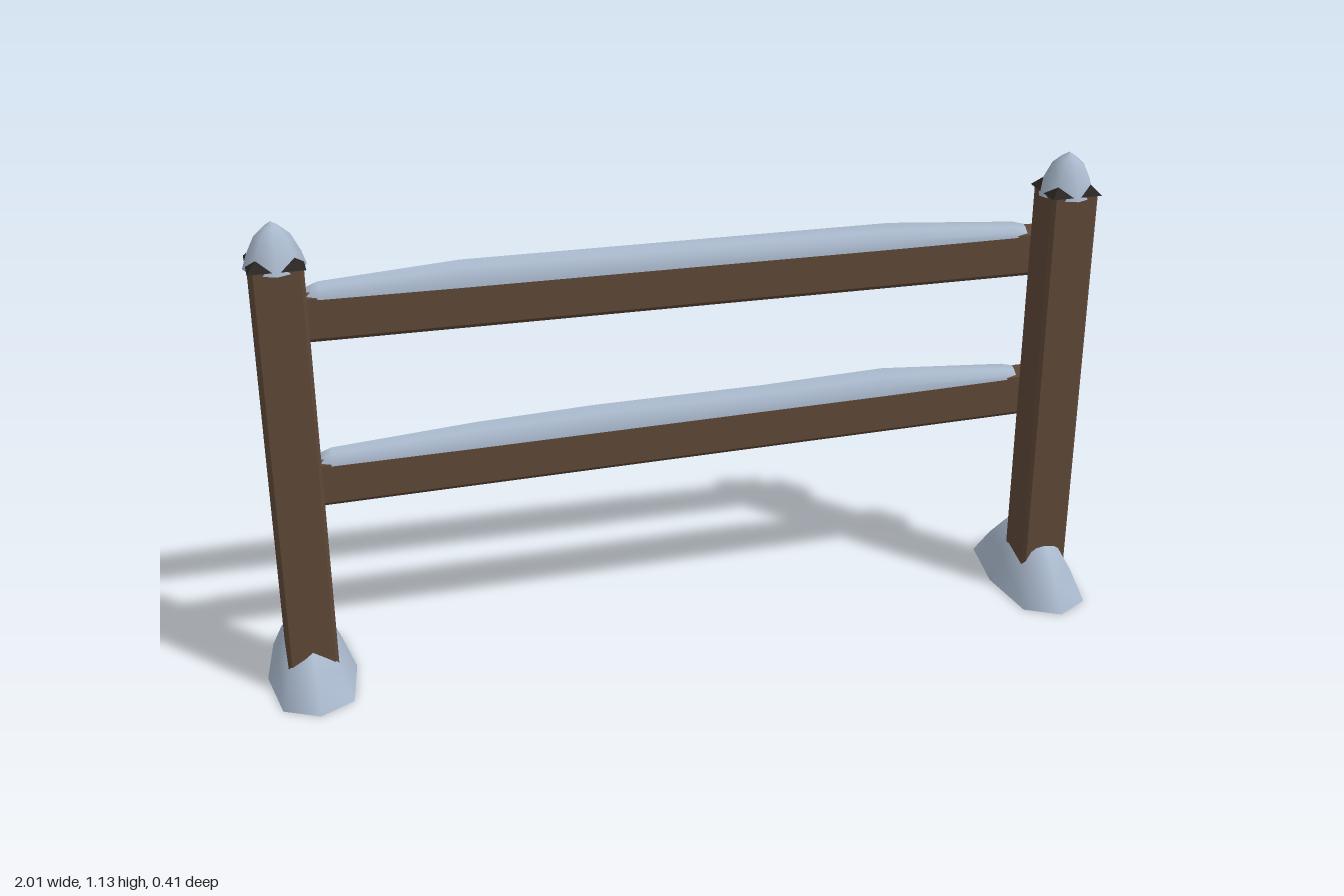
import * as THREE from 'three';

const WOOD = new THREE.MeshStandardMaterial({ color: 0x5e4737 });
const IRON = new THREE.MeshStandardMaterial({ color: 0x2a2522 });
const SNOW = new THREE.MeshStandardMaterial({ color: 0xa9b8cc, side: THREE.DoubleSide });

const POST_X = 0.9, POST_Z = 0.028, RAIL_Z = -0.057;

function add(parent, name, geometry, material, x = 0, y = 0, z = 0) {
  const mesh = new THREE.Mesh(geometry, material);
  mesh.name = name;
  mesh.position.set(x, y, z);
  parent.add(mesh);
  return mesh;
}

// Rectangle with its four corners cut off
function cutRect(w, h, c) {
  const a = w / 2, b = h / 2;
  return new THREE.Shape([
    [-a + c, -b], [a - c, -b], [a, -b + c], [a, b - c],
    [a - c, b], [-a + c, b], [-a, b - c], [-a, -b + c],
  ].map(([x, y]) => new THREE.Vector2(x, y)));
}

// Skin between cross-sections that share a point count
function loft(rings, closed) {
  const n = rings[0].length, index = [];
  for (let i = 0; i < rings.length - 1; i++) {
    for (let j = 0; j < (closed ? n : n - 1); j++) {
      const a = i * n + j, b = i * n + (j + 1) % n;
      index.push(a, b, a + n, b, b + n, a + n);
    }
  }
  const g = new THREE.BufferGeometry();
  g.setAttribute('position', new THREE.Float32BufferAttribute(rings.flat(2), 3));
  g.setIndex(index);
  g.computeVertexNormals();
  return g;
}

// Oblong open snow drift around the foot of a post
function driftGeometry(halfZ) {
  const levels = [[0, 1, 1], [0.07, 0.72, 0.74], [0.125, 0.4, 0.5], [0.147, 0.001, 0.001]];
  return loft(levels.map(([y, sx, sz]) => Array.from({ length: 8 }, (_, j) => {
    const a = -j * Math.PI / 4;
    const bulge = j % 2 ? 1.1 : 1;
    return [Math.cos(a) * 0.103 * sx * bulge, y, -Math.sin(a) * halfZ * sz * bulge];
  }).reverse()), true);
}

// Snow lying along a rail; each station is [x, crest height above rail centre, width]
function railSnowGeometry(stations) {
  const section = [[-1, 0], [-0.95, 0.4], [-0.55, 0.75], [0, 1], [0.55, 0.75], [0.95, 0.4], [1, 0]];
  const rings = stations.map(([x, top, w]) =>
    section.map(([u, v]) => [x, 0.043 + (top - 0.043) * v, -u * w]));
  const flat = (r) => r.map(([x, , z]) => [x, 0.043, z]);
  return loft([flat(rings[0]), ...rings, flat(rings[rings.length - 1])], false);
}

function makePost(side, driftZ, driftHalf) {
  const post = new THREE.Group();
  post.name = side < 0 ? 'rightPost' : 'leftPost';
  post.position.x = side * POST_X;

  const shaft = new THREE.ExtrudeGeometry(cutRect(0.114, 0.11, 0.008), { depth: 1.04, bevelEnabled: false });
  shaft.rotateX(-Math.PI / 2);
  add(post, 'shaft', shaft, WOOD, 0, 0, POST_Z);

  // Pyramid cap whose corners poke out of the snow
  const cap = new THREE.ConeGeometry(0.086, 0.066, 4).toNonIndexed();
  cap.rotateY(Math.PI / 4);
  cap.computeVertexNormals();
  add(post, 'postCap', cap, IRON, 0, 1.071, POST_Z);

  const profile = [[0.067, 1.03], [0.056, 1.063], [0.038, 1.1], [0.018, 1.118], [0, 1.13]];
  add(post, 'capSnow', new THREE.LatheGeometry(profile.map(([r, y]) => new THREE.Vector2(r, y)), 8),
    SNOW, 0, 0, POST_Z);

  add(post, 'snowDrift', driftGeometry(driftHalf), SNOW, 0, 0, driftZ);
  return post;
}

function makeRail(name, y, drop, stations) {
  const rail = new THREE.Group();
  rail.name = name;
  rail.position.set(0, y, RAIL_Z);
  rail.rotation.z = Math.atan(drop);

  const b = 0.008, length = 1.91;
  const beam = new THREE.ExtrudeGeometry(cutRect(0.058 - 2 * b, 0.115 - 2 * b, 0.006), {
    depth: length - 2 * b, bevelThickness: b, bevelSize: b, bevelSegments: 1,
  });
  beam.translate(0, 0, -length / 2 + b);
  beam.rotateY(Math.PI / 2);
  add(rail, 'beam', beam, WOOD);

  add(rail, 'railSnow', railSnowGeometry(stations), SNOW);

  // Fixing plates on the back
  for (const s of [-1, 1]) {
    add(rail, 'fixingPlate', new THREE.BoxGeometry(0.055, 0.055, 0.012), IRON, s * POST_X, 0, -0.03);
  }
  return rail;
}

export function createModel() {
  const fence = new THREE.Group();
  fence.name = 'snowyFence';
  fence.add(makePost(-1, -0.02, 0.19), makePost(1, -0.002, 0.204));
  fence.add(makeRail('upperRail', 0.873, -0.009, [
    [-0.84, 0.062, 0.026], [-0.81, 0.075, 0.03], [-0.5, 0.097, 0.033],
    [0.5, 0.097, 0.033], [0.81, 0.074, 0.03], [0.84, 0.066, 0.026],
  ]));
  fence.add(makeRail('lowerRail', 0.49, 0.012, [
    [-0.84, 0.062, 0.026], [-0.81, 0.076, 0.03], [-0.48, 0.094, 0.033], [-0.2, 0.1, 0.033],
    [0.2, 0.097, 0.033], [0.5, 0.102, 0.033], [0.81, 0.074, 0.03], [0.84, 0.066, 0.026],
  ]));
  return fence;
}
